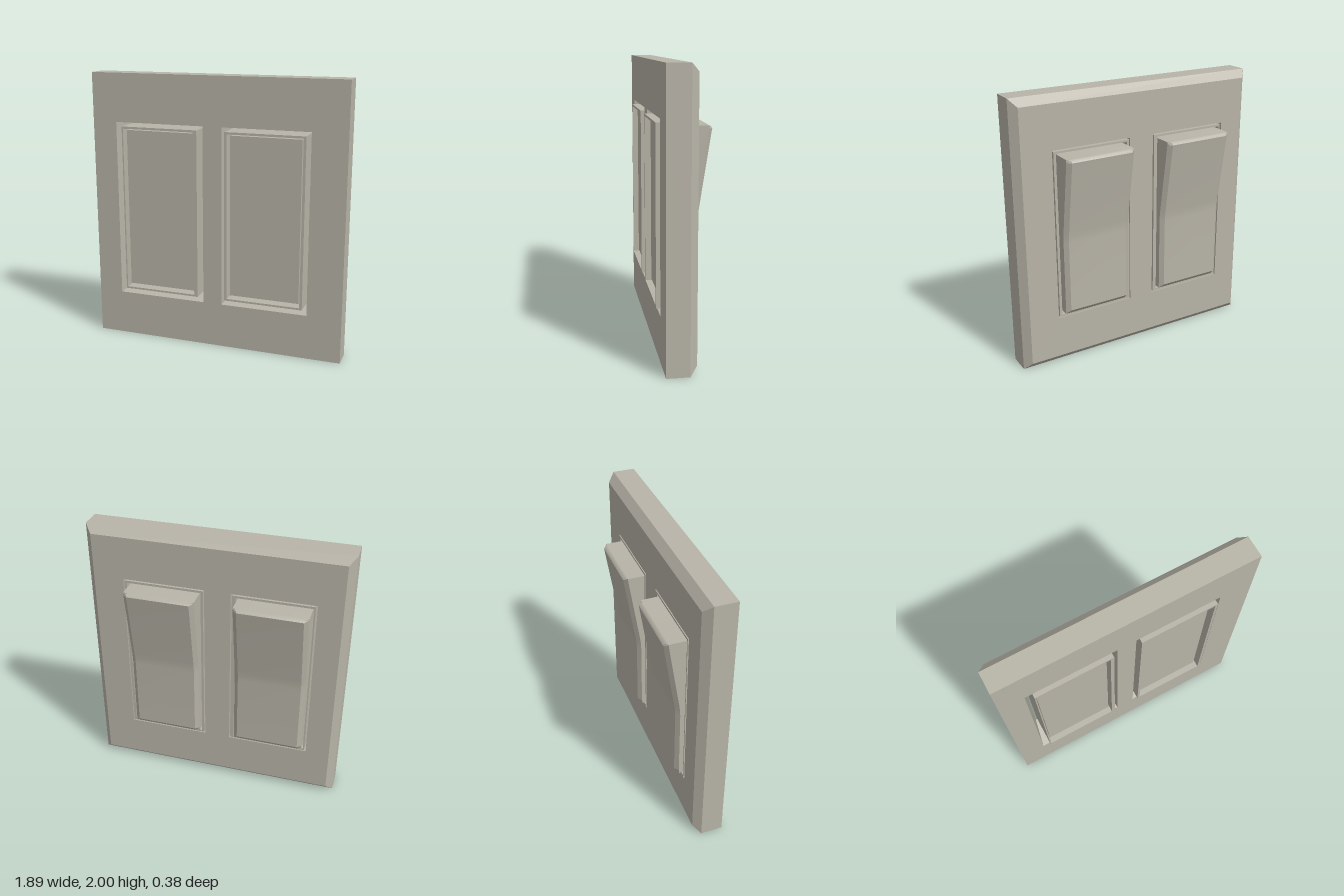
import * as THREE from 'three';
import { mergeGeometries, toCreasedNormals } from 'three/addons/utils/BufferGeometryUtils.js';

const Z_FACE = -0.045, Z_EDGE = 0.008, Z_BACK = 0.167;

// Skin consecutive rings of [x, y, z] points; optionally close both ends
function loft(rings, caps = false) {
  const pos = [];
  const n = rings[0].length;
  const tri = (a, b, c) => pos.push(...a, ...b, ...c);
  for (let r = 0; r + 1 < rings.length; r++) {
    for (let i = 0; i < n; i++) {
      const j = (i + 1) % n;
      const a = rings[r][i], b = rings[r][j], c = rings[r + 1][j], d = rings[r + 1][i];
      tri(a, b, c);
      tri(a, c, d);
    }
  }
  if (caps) {
    const first = rings[0], last = rings[rings.length - 1];
    for (let i = 1; i + 1 < n; i++) {
      tri(first[0], first[i + 1], first[i]);
      tri(last[0], last[i], last[i + 1]);
    }
  }
  const g = new THREE.BufferGeometry();
  g.setAttribute('position', new THREE.Float32BufferAttribute(pos, 3));
  g.computeVertexNormals();
  return g;
}

// Rectangle [x0, x1, y0, y1] placed at depth z
const rect = ([x0, x1, y0, y1], z) => [[x0, y0, z], [x1, y0, z], [x1, y1, z], [x0, y1, z]];

// Flat rectangular sheet with rectangular holes
function sheet(outer, holes, z, flip) {
  const path = (r) => rect(r, 0).map(([x, y]) => new THREE.Vector2(x, y));
  const shape = new THREE.Shape(path(outer));
  for (const h of holes) shape.holes.push(new THREE.Path(path(h)));
  const s = new THREE.ShapeGeometry(shape);
  if (flip) s.setIndex(Array.from(s.index.array).reverse());
  const g = s.toNonIndexed().translate(0, 0, z);
  g.deleteAttribute('uv');
  g.computeVertexNormals();
  return g;
}

// Each bay: wide opening, narrow opening, frame outside, frame inside, rocker sides, screw x
const BAYS = [
  { wide: [-0.762, -0.09, 0.33, 1.645], slim: [-0.72, -0.117, 0.367, 1.627],
    out: [-0.707, -0.126, 0.376, 1.618], inn: [-0.697, -0.153, 0.39, 1.602],
    sides: [-0.687, -0.163], screw: -0.41 },
  { wide: [0.052, 0.693, 0.33, 1.645], slim: [0.074, 0.672, 0.367, 1.627],
    out: [0.082, 0.664, 0.376, 1.618], inn: [0.1, 0.645, 0.39, 1.602],
    sides: [0.111, 0.628], screw: 0.385 },
];

// Wall plate with bevelled rim and tapered openings
function plateGeometry() {
  const full = [-0.945, 0.945, 0, 2], face = [-0.895, 0.895, 0.055, 1.945];
  return mergeGeometries([
    loft([rect(face, Z_FACE), rect(full, Z_EDGE), rect(full, Z_BACK)]),
    sheet(face, BAYS.map((b) => b.slim), Z_FACE, true),
    sheet(full, BAYS.map((b) => b.wide), Z_BACK, false),
    ...BAYS.map((b) => loft([rect(b.wide, Z_BACK), rect(b.slim, Z_FACE)])),
  ]);
}

// Bent paddle: stations of [y, side edge z, face z, chamfer width]
function rockerGeometry([x0, x1]) {
  const zb = 0.15;
  const stations = [
    [0.405, -0.072, -0.075, 0.03], [0.435, -0.075, -0.1, 0.03],
    [0.96, -0.075, -0.1, 0.03], [1.0, -0.077, -0.102, 0.03], [1.05, -0.083, -0.109, 0.03],
    [1.545, -0.16, -0.187, 0.03], [1.568, -0.163, -0.191, 0.03],
    [1.58, -0.165, -0.183, 0.03], [1.588, -0.165, -0.168, 0.03],
  ];
  const rings = stations.map(([y, zs, zf, c]) => [
    [x0, y, zs], [x0, y, zb], [x1, y, zb], [x1, y, zs], [x1 - c, y, zf], [x0 + c, y, zf],
  ]);
  return toCreasedNormals(loft(rings, true), 0.5);
}

// Domed screw head made of two halves with a slot between them
function screwHead(mat) {
  const R = 0.067, H = 0.042, GAP = 0.009;
  const screw = new THREE.Group();
  screw.name = 'screw';
  for (const side of [0, 1]) {
    const half = new THREE.Group();
    half.name = 'screwHalf';
    const dome = new THREE.Mesh(
      new THREE.SphereGeometry(1, 16, 8, Math.PI / 2, Math.PI, 0, Math.PI / 2)
        .rotateX(-Math.PI / 2).scale(R - GAP, R, H), mat);
    dome.name = 'screwDome';
    const wall = new THREE.Mesh(
      new THREE.CircleGeometry(1, 16, 0, Math.PI)
        .rotateX(-Math.PI / 2).rotateZ(Math.PI / 2).scale(1, R, H), mat);
    wall.name = 'slotWall';
    half.add(dome, wall);
    half.position.x = GAP;
    const turned = new THREE.Group();
    turned.name = 'screwSide';
    turned.add(half);
    turned.rotation.z = side * Math.PI;
    screw.add(turned);
  }
  const floor = new THREE.Mesh(new THREE.BoxGeometry(GAP * 2, R * 1.85, 0.012), mat);
  floor.name = 'slotFloor';
  floor.position.z = -0.006;
  screw.add(floor);
  return screw;
}

export function createModel() {
  const model = new THREE.Group();
  model.name = 'doubleRockerSwitch';
  const grey = new THREE.MeshStandardMaterial({ color: 0xb8b4a8, side: THREE.DoubleSide });
  grey.name = 'warmGrey';

  const add = (name, geometry) => {
    const mesh = new THREE.Mesh(geometry, grey);
    mesh.name = name;
    model.add(mesh);
  };

  add('wallPlate', plateGeometry());
  BAYS.forEach((bay, i) => {
    const tag = i === 0 ? 'right' : 'left';
    // Thin open frame around the rocker
    const z0 = -0.047, z1 = 0.192;
    add(`${tag}Frame`, loft([
      rect(bay.out, z0), rect(bay.out, z1), rect(bay.inn, z1), rect(bay.inn, z0), rect(bay.out, z0),
    ]));
    add(`${tag}Rocker`, rockerGeometry(bay.sides));
    // Screws above and below
    for (const y of [0.24, 1.77]) {
      const screw = screwHead(grey);
      screw.rotation.y = Math.PI;
      screw.position.set(bay.screw, y, Z_FACE);
      screw.name = `${tag}Screw`;
      model.add(screw);
    }
  });
  return model;
}
